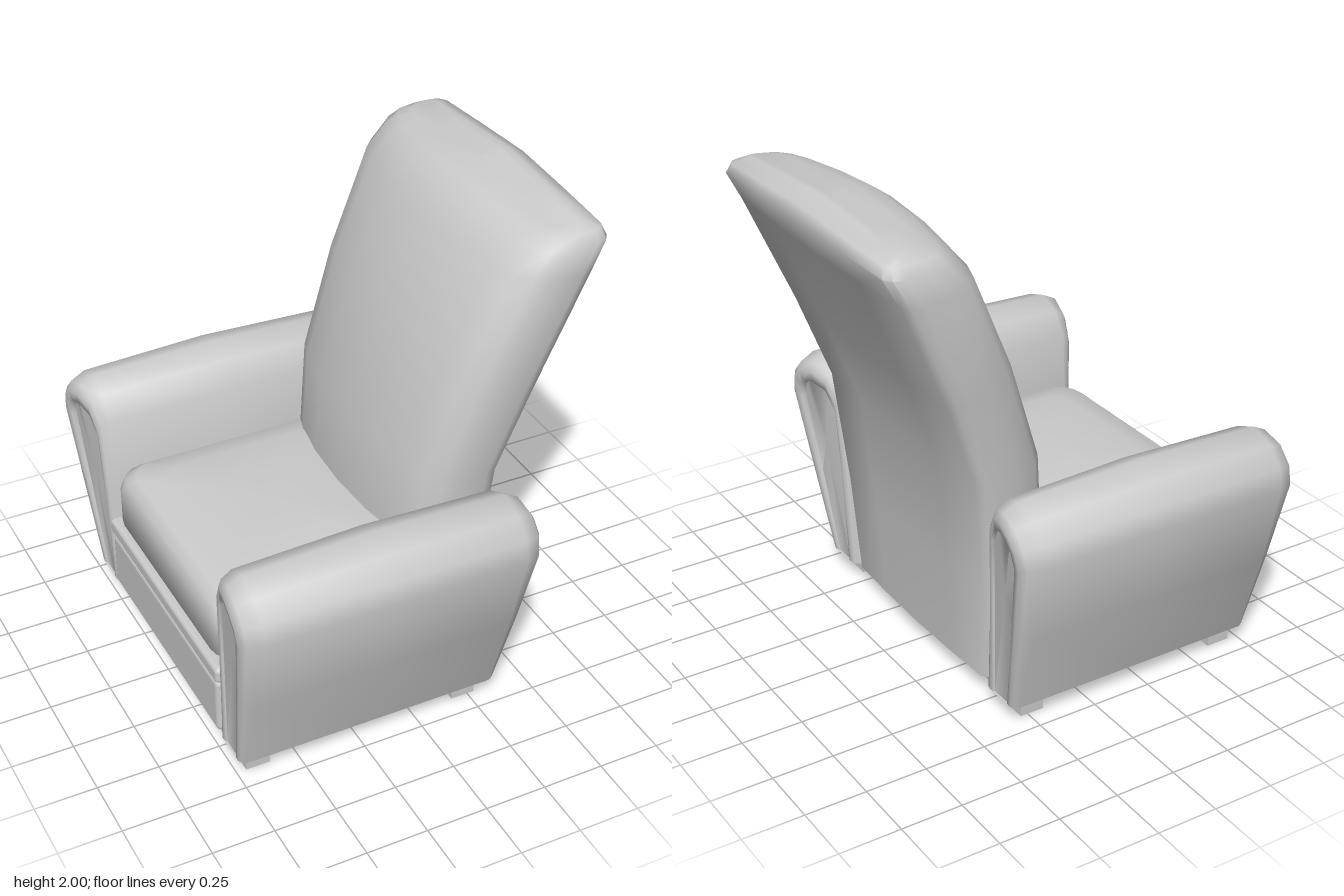
import * as THREE from 'three';
import { toCreasedNormals } from 'three/addons/utils/BufferGeometryUtils.js';
import { RoundedBoxGeometry } from 'three/addons/geometries/RoundedBoxGeometry.js';

const material = new THREE.MeshStandardMaterial({ color: 0xcccccc });

// Skin over a stack of closed rings of [x, y, z], with fan caps at both ends
function loft(rings, crease = 1.05) {
  const n = rings[0].length, pos = rings.flat(2), index = [];
  for (let i = 0; i < rings.length - 1; i++) {
    for (let j = 0; j < n; j++) {
      const a = i * n + j, b = i * n + (j + 1) % n;
      index.push(a, b, b + n, a, b + n, a + n);
    }
  }
  [rings[0], rings[rings.length - 1]].forEach((ring, end) => {
    const centre = pos.length / 3, start = end ? (rings.length - 1) * n : 0;
    for (let k = 0; k < 3; k++) pos.push(ring.reduce((sum, p) => sum + p[k], 0) / n);
    for (let j = 0; j < n; j++) {
      const a = start + j, b = start + (j + 1) % n;
      if (end) index.push(centre, a, b); else index.push(centre, b, a);
    }
  });
  const g = new THREE.BufferGeometry();
  g.setAttribute('position', new THREE.Float32BufferAttribute(pos, 3));
  g.setIndex(index);
  return toCreasedNormals(g, crease);
}

// Reclined back: rows of front x, y, rear x, y, half width and edge droop
function backGeometry() {
  const rows = [
    [0.0, 0.09, 0.35, 0.09, 0.5, 0], [0.0, 0.6, 0.37, 0.5, 0.545, 0],
    [0.04, 1.02, 0.42, 0.98, 0.58, 0], [0.18, 1.45, 0.55, 1.33, 0.615, 0],
    [0.34, 1.82, 0.745, 1.78, 0.64, 0], [0.42, 1.92, 0.806, 1.915, 0.63, 0.02],
    [0.48, 1.965, 0.79, 1.965, 0.605, 0.03], [0.55, 1.98, 0.72, 2.0, 0.56, 0.037],
    [0.6, 1.986, 0.69, 1.997, 0.3, 0.02], [0.62, 1.988, 0.68, 1.995, 0.03, 0.002],
  ];
  // Half section as [depth, side]
  const half = [[0, 0], [0.03, 0.4], [0.12, 0.73], [0.2, 0.88], [0.32, 0.97],
    [0.55, 1], [0.8, 1], [0.9, 0.98], [0.96, 0.93], [0.985, 0.5], [1, 0]];
  const section = [...half, ...half.slice(1, -1).reverse().map(([u, s]) => [u, -s])];
  return loft(rows.map(([fx, fy, bx, by, w, droop]) => section.map(([u, s]) =>
    [fx + (bx - fx) * u, fy + (by - fy) * u - droop * Math.abs(s), s * w])));
}

// Flared arm: outer section blends to a recessed end panel
function armGeometry(side) {
  const outer = [[0.72, 1.0], [0.83, 0.965], [0.9, 0.89], [0.918, 0.81], [0.825, 0.45],
    [0.71, 0.08], [0.5, 0.08], [0.53, 0.5], [0.555, 0.86], [0.62, 0.96]];
  const panel = [[0.71, 0.875], [0.76, 0.87], [0.795, 0.84], [0.81, 0.78], [0.735, 0.45],
    [0.655, 0.08], [0.56, 0.08], [0.575, 0.5], [0.59, 0.78], [0.64, 0.86]];
  const ring = (k, xAt, shrink) => {
    const points = outer.map(([z, y], i) => {
      let zz = z + (panel[i][0] - z) * k, yy = y + (panel[i][1] - y) * k;
      zz = 0.7 + (zz - 0.7) * shrink;
      yy = 0.08 + (yy - 0.08) * (1 - (1 - shrink) * 0.3);
      // The ends flare most at the upper outside
      const flare = THREE.MathUtils.clamp((yy - 0.08) / 0.75, 0, 1)
        * THREE.MathUtils.clamp((zz - 0.5) / 0.25, 0, 1);
      return [xAt(flare), yy, zz * side];
    });
    return side > 0 ? points : points.reverse();
  };
  // Blend amount and distance in from the end
  const steps = [[1, 0.03], [0.92, 0.008], [0.55, 0], [0.25, 0.02], [0, 0.085]];
  const front = steps.map(([k, d]) => ring(k, t => -0.752 - 0.06 * t + d * (0.3 + 0.7 * t), 0.94));
  const rear = steps.map(([k, d]) => ring(k, t => 0.345 + 0.08 * t - d * (0.3 + 0.7 * t), 0.94));
  return loft([...front, ring(0, () => -0.2, 1), ...rear.reverse()]);
}

// Crowned seat cushion: rounded rectangles at rising heights
function cushionGeometry() {
  const rows = [[0.4, 0.03], [0.43, 0], [0.59, 0], [0.64, 0.015], [0.67, 0.05], [0.69, 0.15], [0.705, 0.32]];
  const cx = -0.265, r = 0.1;
  return loft(rows.map(([y, inset]) => {
    const ring = [], hx = 0.475 - inset, hz = 0.53 - inset;
    for (let q = 0; q < 4; q++) {
      for (let k = 0; k <= 4; k++) {
        const a = (q + k / 4) * Math.PI / 2;
        const sx = q === 0 || q === 3 ? 1 : -1, sz = q < 2 ? -1 : 1;
        ring.push([cx + sx * (hx - r) + Math.cos(a) * r, y, sz * (hz - r) - Math.sin(a) * r]);
      }
    }
    return ring;
  }));
}

export function createModel() {
  const group = new THREE.Group();
  const add = (name, geometry, x = 0, y = 0, z = 0) => {
    const mesh = new THREE.Mesh(geometry, material);
    mesh.name = name;
    mesh.position.set(x, y, z);
    group.add(mesh);
  };

  add('backrest', backGeometry());
  add('seatCushion', cushionGeometry());

  // Seat base with a lower front panel and a narrow upper rail
  add('seatBase', new THREE.BoxGeometry(1.04, 0.31, 1.04), -0.21, 0.245, 0);
  add('frontPanel', new RoundedBoxGeometry(0.1, 0.25, 1.05, 3, 0.025), -0.71, 0.215, 0);
  add('frontRail', new RoundedBoxGeometry(0.1, 0.07, 1.07, 3, 0.02), -0.715, 0.375, 0);

  for (const side of [1, -1]) {
    add(side > 0 ? 'leftArm' : 'rightArm', armGeometry(side));
    for (const [name, x] of [['A', -0.66], ['B', 0.23]]) {
      add((side > 0 ? 'leftFoot' : 'rightFoot') + name, new THREE.BoxGeometry(0.1, 0.1, 0.105), x, 0.05, side * 0.61);
    }
  }
  return group;
}
